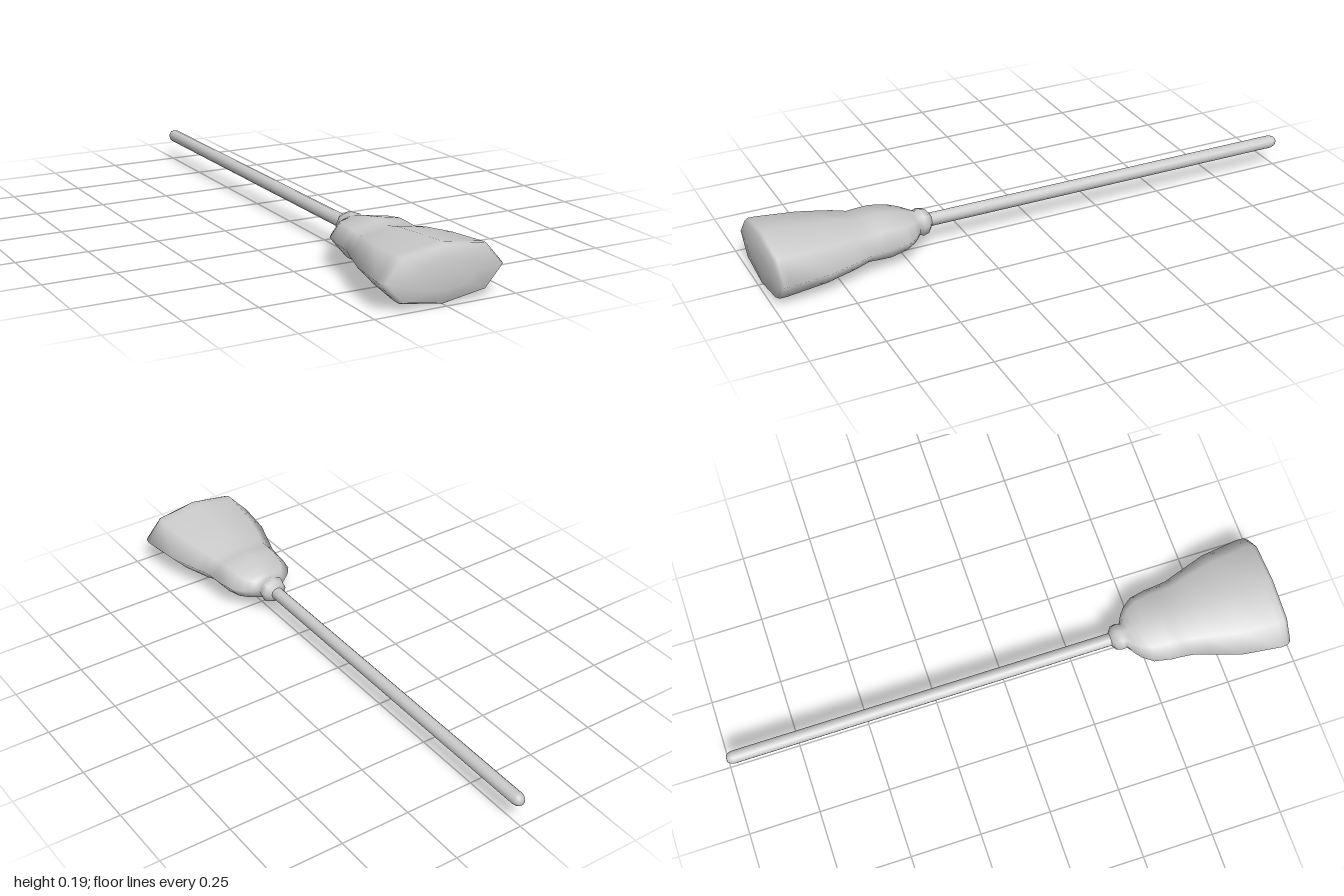
import * as THREE from 'three';
import { mergeVertices } from 'three/addons/utils/BufferGeometryUtils.js';

const AXIS_Y = 0.099;

// Smooth skin over rings [z, halfWidth, halfHeight], listed from back to front.
function loft(rings, sides, fullness = 1) {
  const positions = [];
  const index = [];
  rings.forEach(([z, w, h], r) => {
    for (let i = 0; i < sides; i++) {
      const a = (i / sides) * Math.PI * 2;
      const diagonal = Math.abs(Math.sin(2 * a));
      const lift = 1 + (fullness - 1) * diagonal;
      positions.push(Math.cos(a) * w, AXIS_Y + Math.sin(a) * h * lift, z);
      if (r === rings.length - 1) continue;
      const j = (i + 1) % sides;
      const p = r * sides + i, q = r * sides + j;
      index.push(p, q, q + sides, p, q + sides, p + sides);
    }
  });
  let geometry = new THREE.BufferGeometry();
  geometry.setAttribute('position', new THREE.Float32BufferAttribute(positions, 3));
  geometry.setIndex(index);
  geometry = mergeVertices(geometry, 1e-5); // joins the poles
  geometry.computeVertexNormals();
  return geometry;
}

export function createModel() {
  const group = new THREE.Group();
  const material = new THREE.MeshStandardMaterial({ color: 0xcccccc });
  const add = (name, geometry) => {
    const mesh = new THREE.Mesh(geometry, material);
    mesh.name = name;
    group.add(mesh);
  };

  // Long round handle with a softened end
  add('handle', loft([
    [-1, 0, 0], [-0.998, 0.012, 0.012], [-0.99, 0.019, 0.019],
    [-0.978, 0.023, 0.023], [0.45, 0.023, 0.023],
  ], 12));

  // Bristle head: neck collar, shoulders, binding waist, flared and gently domed end
  add('bristleHead', loft([
    [0.385, 0, 0], [0.39, 0.024, 0.024], [0.405, 0.045, 0.042],
    [0.425, 0.05, 0.048], [0.44, 0.046, 0.042], [0.455, 0.075, 0.043],
    [0.475, 0.1, 0.049], [0.51, 0.126, 0.058], [0.57, 0.138, 0.069],
    [0.61, 0.141, 0.066], [0.65, 0.146, 0.06], [0.7, 0.163, 0.072],
    [0.81, 0.199, 0.084], [0.95, 0.217, 0.095], [0.975, 0.215, 0.097],
    [0.988, 0.205, 0.09], [0.997, 0.11, 0.05], [1, 0, 0],
  ], 8, 1.06));

  return group;
}
